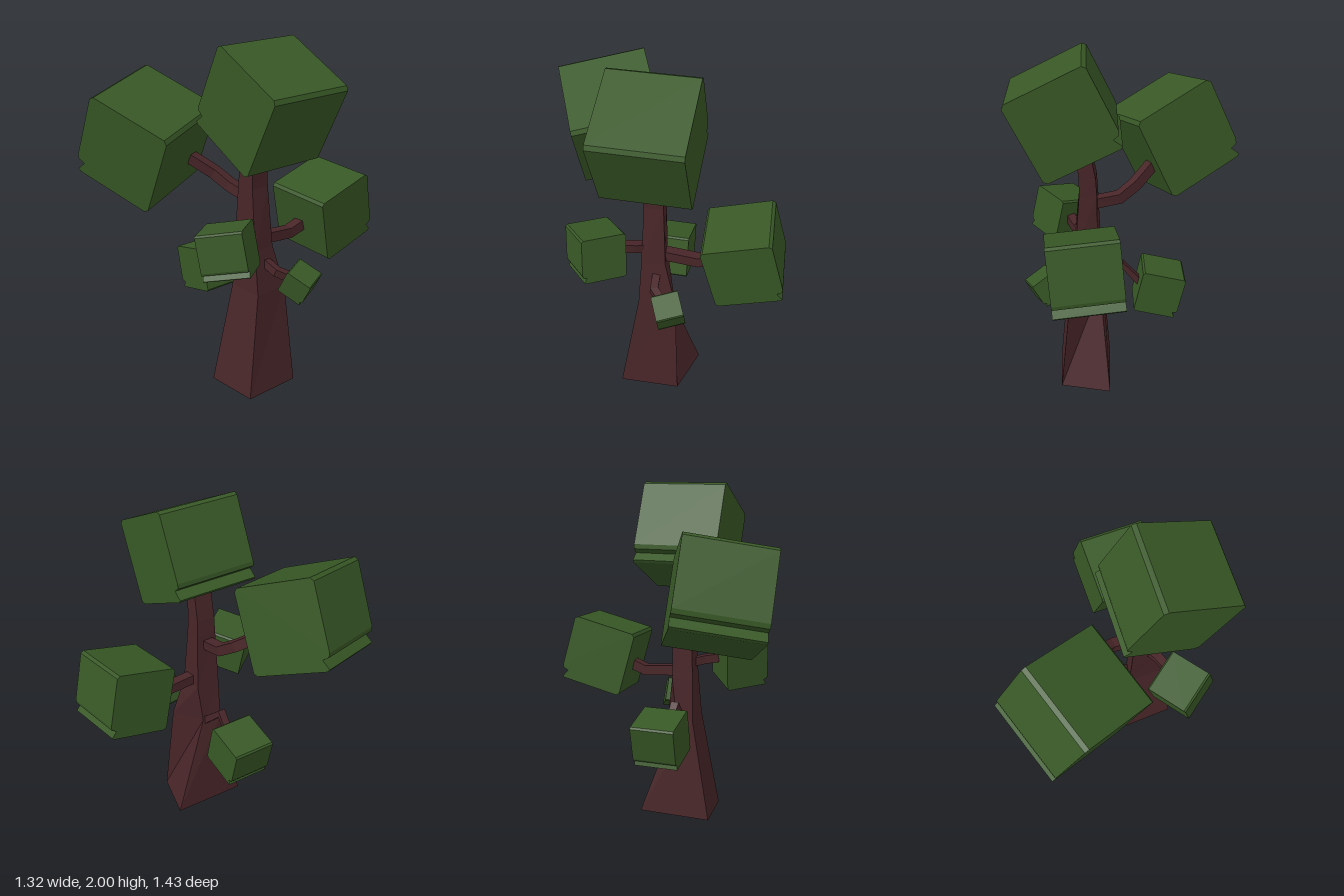
import * as THREE from 'three';

const V = (a) => new THREE.Vector3(...a);

// Skin a list of four-cornered rings (counter-clockwise about the growth direction), with end caps
function loft(rings) {
  const pos = [];
  const quad = (a, b, c, d) => [a, b, c, a, c, d].forEach((p) => pos.push(p.x, p.y, p.z));
  for (let r = 0; r < rings.length - 1; r++) {
    const lo = rings[r], hi = rings[r + 1];
    for (let i = 0; i < 4; i++) {
      const j = (i + 1) % 4;
      quad(lo[i], lo[j], hi[j], hi[i]);
    }
  }
  const first = rings[0], last = rings[rings.length - 1];
  quad(first[3], first[2], first[1], first[0]);
  quad(last[0], last[1], last[2], last[3]);
  const g = new THREE.BufferGeometry();
  g.setAttribute('position', new THREE.Float32BufferAttribute(pos, 3));
  g.computeVertexNormals();
  return g;
}

// Square-section limb along a bent path
function limb(path, width) {
  const pts = path.map(V);
  const n = pts.length;
  const side = pts[n - 1].clone().sub(pts[0]).cross(V([0, 1, 0])).normalize();
  return loft(pts.map((p, i) => {
    const t = pts[Math.min(i + 1, n - 1)].clone().sub(pts[Math.max(i - 1, 0)]).normalize();
    const u = side.clone().addScaledVector(t, -side.dot(t)).normalize();
    const v = t.clone().cross(u);
    const h = width / 2;
    return [[-h, -h], [h, -h], [h, h], [-h, h]].map(([a, b]) =>
      p.clone().addScaledVector(u, a).addScaledVector(v, b));
  }));
}

// Unit leaf cube: chamfered square with a notch near the lower left corner
function leafGeometry() {
  const c = 0.04, h = 0.5;
  const profile = [
    [-h, -0.3], [-0.48, -0.35], [-0.4, -0.37], [-0.46, -0.48], [-0.43, -h],
    [h - c, -h], [h, -h + c], [h, h - c], [h - c, h], [-h + c, h], [-h, h - c],
  ].map((p) => new THREE.Vector2(...p));
  const g = new THREE.ExtrudeGeometry(new THREE.Shape(profile), { depth: 1, bevelEnabled: false });
  return g.translate(0, 0, -0.5);
}

export function createModel() {
  const tree = new THREE.Group();
  tree.name = 'tree';

  const bark = new THREE.MeshStandardMaterial({ color: 0x482528 });
  bark.name = 'bark brown';
  const green = new THREE.MeshStandardMaterial({ color: 0x385826 });
  green.name = 'leaf green';

  const add = (name, geometry, material) => {
    const m = new THREE.Mesh(geometry, material);
    m.name = name;
    tree.add(m);
    return m;
  };

  // Trunk: height, then four (x, z) corners
  const trunk = [
    [0, [0.11, 0.225], [0.42, 0.2], [0.41, -0.14], [0.12, -0.215]],
    [0.6, [0.148, 0.11], [0.36, 0.1], [0.345, -0.11], [0.17, 0]],
    [0.85, [0.16, 0.105], [0.32, 0.09], [0.31, -0.045], [0.18, -0.03]],
    [1.2, [0.172, 0.09], [0.28, 0.08], [0.28, -0.03], [0.18, -0.025]],
    [1.3, [0.178, 0.088], [0.282, 0.08], [0.28, -0.025], [0.185, -0.022]],
    [1.55, [0.225, 0.085], [0.3, 0.08], [0.3, -0.02], [0.23, -0.02]],
  ];
  add('trunk', loft(trunk.map(([y, ...ring]) => ring.map(([x, z]) => V([x, y, z])))), bark);

  // Branches: name, width, path
  [
    ['upperRightBranch', 0.06, [[0.22, 1.13, 0.04], [0.05, 1.16, 0.05], [-0.04, 1.22, 0.09], [-0.15, 1.31, 0.19]]],
    ['backBranch', 0.06, [[0.25, 0.89, 0.02], [0.25, 0.87, -0.22], [0.26, 0.92, -0.36]]],
    ['frontLeftBranch', 0.05, [[0.26, 0.93, 0.04], [0.31, 0.95, 0.13], [0.36, 0.97, 0.27]]],
    ['lowerRightBranch', 0.045, [[0.2, 0.57, 0.03], [0.03, 0.725, 0.04], [-0.1, 0.58, 0.03]]],
    ['lowerLeftBranch', 0.045, [[0.27, 0.78, 0.01], [0.4, 0.735, 0], [0.47, 0.69, -0.08]]],
  ].forEach(([name, width, path]) => add(name, limb(path, width), bark));

  // Leaf cubes: name, size, centre, local x axis, local z axis
  const cube = leafGeometry();
  [
    ['crownLeaves', 0.49, [0.345, 1.678, 0.025], [0.9, -0.44, 0], [0, 0, 1]],
    ['upperRightLeaves', 0.5, [-0.277, 1.425, 0.388], [0.834, -0.389, -0.391], [0.354, -0.165, 0.92]],
    ['backLeaves', 0.385, [0.253, 0.963, -0.482], [0.056, -0.25, 0.966], [-0.99, 0.068, 0.076]],
    ['frontLeftLeaves', 0.255, [0.382, 0.948, 0.33], [-0.6, -0.1, -0.78], [0.76, 0.2, -0.6]],
    ['lowerRightLeaves', 0.255, [-0.178, 0.588, 0.028], [0.972, 0.233, 0], [0, 0, 1]],
    ['lowerLeftLeaves', 0.153, [0.483, 0.672, -0.1], [-0.8, 0.45, 0.4], [-0.356, 0.18, -0.91]],
  ].forEach(([name, size, centre, xAxis, zAxis]) => {
    const z = V(zAxis).normalize();
    const y = z.clone().cross(V(xAxis)).normalize();
    const x = y.clone().cross(z);
    const m = add(name, cube, green);
    m.quaternion.setFromRotationMatrix(new THREE.Matrix4().makeBasis(x, y, z));
    m.position.set(...centre);
    m.scale.setScalar(size);
  });

  return tree;
}
